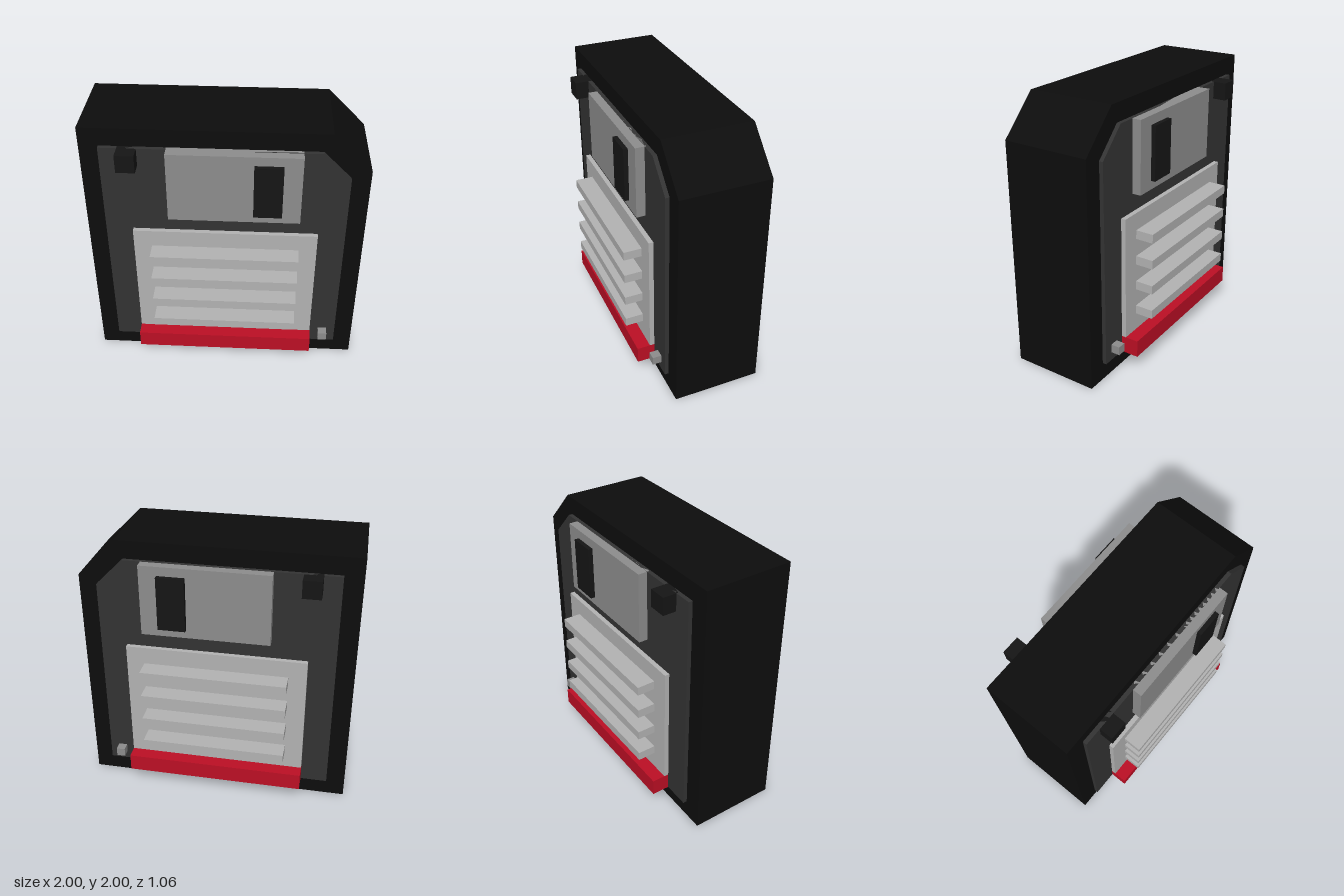
import * as THREE from 'three';

const material = (color) => new THREE.MeshStandardMaterial({ color, flatShading: true });
const mats = {
  black: material(0x0d0d0d),
  slot: material(0x151515),
  panel: material(0x333333),
  metal: material(0x8c8c8c),
  label: material(0xb2b2b2),
  red: material(0xbb0f24),
};

const BODY = 0.33; // half depth of the case
const PANEL = 0.36; // depth of the raised panel face

// Rectangle with its upper +x corner cut off, extruded from z0 to z1
function cutPlate(name, mat, halfW, y0, y1, cut, z0, z1) {
  const shape = new THREE.Shape([
    new THREE.Vector2(-halfW, y0),
    new THREE.Vector2(halfW, y0),
    new THREE.Vector2(halfW, y1 - cut),
    new THREE.Vector2(halfW - cut, y1),
    new THREE.Vector2(-halfW, y1),
  ]);
  const geo = new THREE.ExtrudeGeometry(shape, { depth: z1 - z0, bevelEnabled: false });
  geo.translate(0, 0, z0);
  const mesh = new THREE.Mesh(geo, mat);
  mesh.name = name;
  return mesh;
}

// Box given by its limits
function block(name, mat, x0, x1, y0, y1, z0, z1) {
  const mesh = new THREE.Mesh(new THREE.BoxGeometry(x1 - x0, y1 - y0, z1 - z0), mat);
  mesh.position.set((x0 + x1) / 2, (y0 + y1) / 2, (z0 + z1) / 2);
  mesh.name = name;
  return mesh;
}

// Everything on one face; side is +1 for the front, -1 for the back
function createFace(side) {
  const face = new THREE.Group();
  face.name = side > 0 ? 'frontFace' : 'backFace';
  const span = (a, b) => (side > 0 ? [a, b] : [-b, -a]);

  face.add(
    cutPlate('panel', mats.panel, 0.863, 0.137, 1.867, 0.2, ...span(BODY, PANEL)),
    block('shutter', mats.metal, -0.4, 0.53, 1.335, 1.867, ...span(BODY, 0.427)),
    block('shutterSlot', mats.slot, 0.2, 0.4, 1.4, 1.8, ...span(0.427, 0.46)),
    block('cornerNotch', mats.slot, -0.733, -0.6, 1.735, 1.867, ...span(BODY, 0.46)),
    block('label', mats.label, -0.665, 0.665, 0.267, 1.2, ...span(PANEL, 0.395)),
    block('labelStripe', mats.red, -0.665, 0.665, 0.137, 0.267, ...span(PANEL, 0.493)),
    block('writeTab', mats.metal, 0.732, 0.797, 0.202, 0.267, ...span(PANEL, 0.427)),
  );

  // Raised writing lines on the label
  for (let i = 0; i < 4; i++) {
    const y = 0.4 + i * 0.201;
    face.add(block('labelLine' + (i + 1), mats.label, -0.533, 0.533, y, y + 0.067, ...span(0.395, 0.53)));
  }
  return face;
}

export function createModel() {
  const model = new THREE.Group();
  model.name = 'floppyDisk';
  model.add(
    cutPlate('case', mats.black, 1, 0, 2, 0.28, -BODY, BODY),
    createFace(1),
    createFace(-1),
  );
  return model;
}
